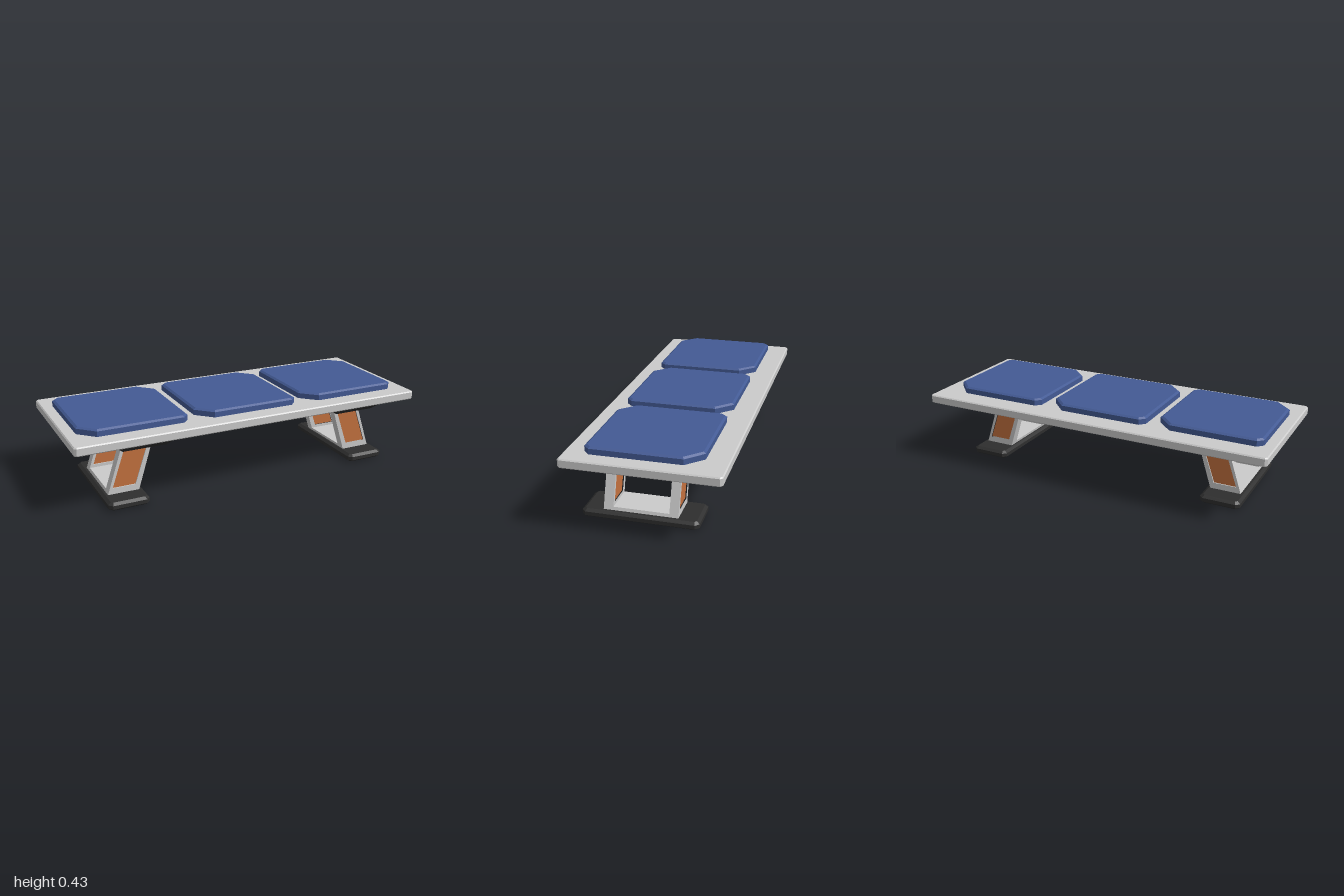
import * as THREE from 'three';

const paint = (color) => new THREE.MeshStandardMaterial({ color, flatShading: true });
const grey = paint(0xcccccc);
const blue = paint(0x435a94);
const orange = paint(0xc4713f);
const black = paint(0x2e2e2e);

function add(parent, name, geometry, material) {
  const mesh = new THREE.Mesh(geometry, material);
  mesh.name = name;
  parent.add(mesh);
  return mesh;
}

// Closed outline from [x, y] pairs
const outline = (points) => new THREE.Shape(points.map(([x, y]) => new THREE.Vector2(x, y)));

// Flat slab from x0..x1, z0..z1, y0..y1 with bevelled rims;
// cutA trims the right-back and left-front corners, cutB the other two
function slab([x0, x1], [z0, z1], [y0, y1], bevelSize, bevelThickness, cutA, cutB) {
  const shape = outline([
    [x0 + cutA, -z1], [x1 - cutB, -z1], [x1, -z1 + cutB], [x1, -z0 - cutA],
    [x1 - cutA, -z0], [x0 + cutB, -z0], [x0, -z0 - cutB], [x0, -z1 + cutA],
  ]);
  const geometry = new THREE.ExtrudeGeometry(shape, {
    depth: y1 - y0 - 2 * bevelThickness,
    bevelEnabled: true, bevelSegments: 1,
    bevelSize, bevelThickness, bevelOffset: -bevelSize,
  });
  return geometry.rotateX(-Math.PI / 2).translate(0, y0 + bevelThickness, 0);
}

// Extrudes an x-y shape from z0 to z1
const between = (shape, z0, z1) =>
  new THREE.ExtrudeGeometry(shape, { depth: z1 - z0, bevelEnabled: false }).translate(0, 0, z0);

// Leg assembly on one side (s = 1 left, -1 right)
function createLeg(s) {
  const leg = new THREE.Group();
  leg.name = s > 0 ? 'leftLeg' : 'rightLeg';

  // Tapered mount under the seat board
  const mount = new THREE.BoxGeometry(0.305, 0.036, 0.653);
  const p = mount.attributes.position;
  for (let i = 0; i < p.count; i++) {
    if (p.getY(i) < 0) p.setXYZ(i, p.getX(i) * 0.76, p.getY(i), p.getZ(i) * 0.88);
  }
  mount.translate(s * 0.627, 0.328, 0.0565);
  add(leg, 'mount', mount, [black, black, black, grey, black, black]);

  // Leaning posts: a grey frame around a recessed panel
  const frame = [[0.805, 0.04], [0.635, 0.04], [0.55, 0.312], [0.715, 0.312]].map(([x, y]) => [s * x, y]);
  const inset = [[0.777, 0.077], [0.652, 0.077], [0.575, 0.3], [0.7, 0.3]].map(([x, y]) => [s * x, y]);
  for (const [name, z0, z1] of [['front', 0.2, 0.25], ['back', -0.137, -0.09]]) {
    const shape = outline(frame);
    shape.holes.push(outline(inset));
    add(leg, name + 'PostFrame', between(shape, z0, z1), grey);
    add(leg, name + 'PostPanel', between(outline(inset), z0 + 0.006, z1 - 0.006), orange);
  }

  // Low rail joining the posts
  const rail = [[0.805, 0.04], [0.635, 0.04], [0.63, 0.06], [0.798, 0.06]].map(([x, y]) => [s * x, y]);
  add(leg, 'rail', between(outline(rail), -0.09, 0.2), grey);

  // Foot
  const xs = s > 0 ? [0.61, 0.832] : [-0.832, -0.61];
  add(leg, 'foot', slab(xs, [-0.247, 0.36], [0, 0.044], 0.016, 0.012, 0.02, 0.02), black);
  return leg;
}

export function createModel() {
  const bench = new THREE.Group();
  bench.name = 'bench';

  // Seat board
  add(bench, 'seatBoard', slab([-1, 1], [-0.398, 0.398], [0.345, 0.393], 0.006, 0.006, 0.012, 0.012), grey);

  // Three cushions with two clipped corners each
  for (const x of [-0.94, -0.302, 0.336]) {
    add(bench, 'cushion', slab([x, x + 0.579], [-0.28, 0.3], [0.38, 0.43], 0.012, 0.008, 0.085, 0.03), blue);
  }

  bench.add(createLeg(1), createLeg(-1));
  return bench;
}
